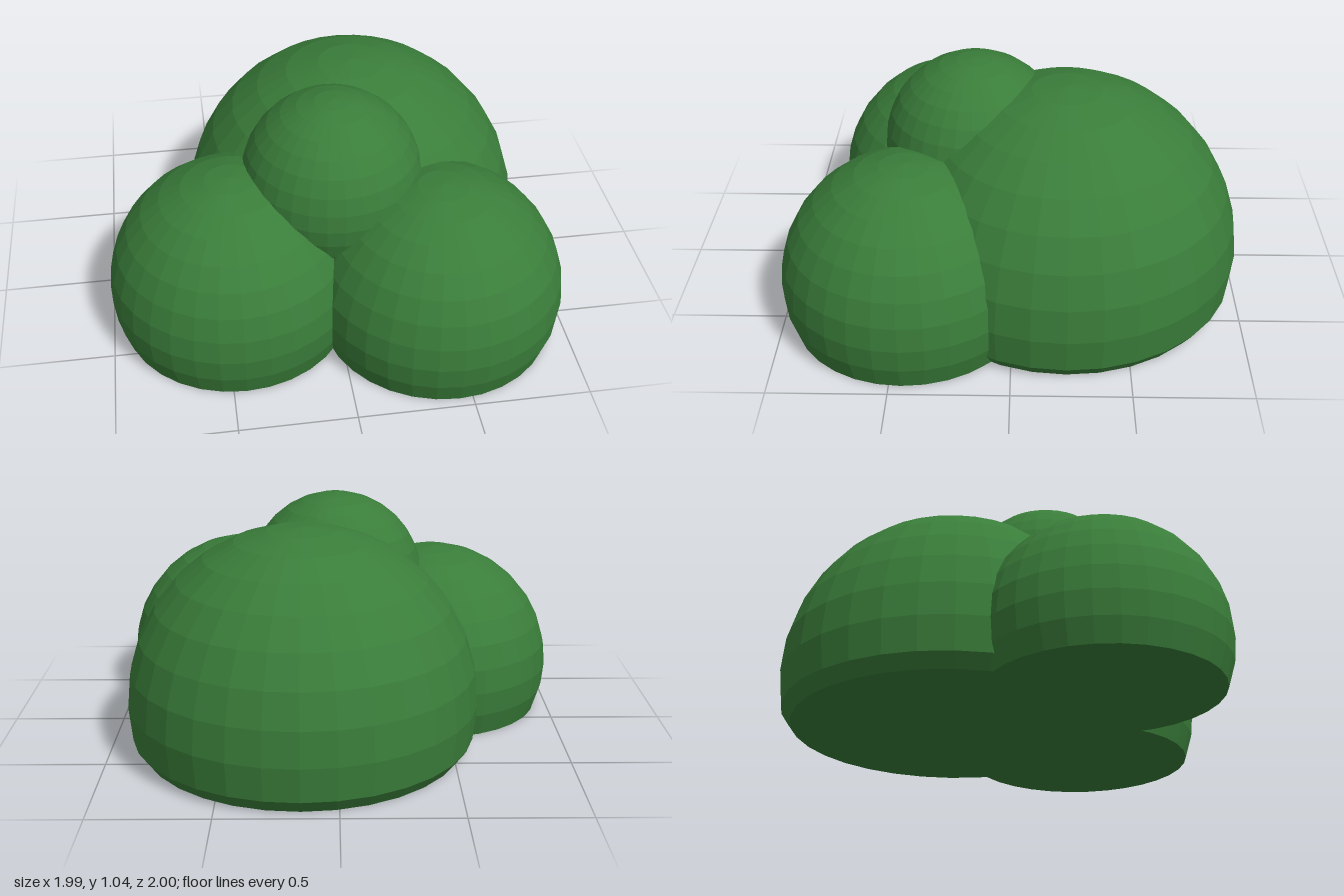
import * as THREE from 'three';

const leafMaterial = new THREE.MeshStandardMaterial({ color: 0x3a7d3a, flatShading: true });

// A ball of foliage whose underside is pressed flat against the ground
function foliageBall(name, radius, x, y, z) {
  const geometry = new THREE.SphereGeometry(radius, 32, 16);
  geometry.translate(x, y, z);
  const position = geometry.attributes.position;
  for (let i = 0; i < position.count; i++) {
    position.setY(i, Math.max(0, position.getY(i)));
  }
  geometry.computeVertexNormals();
  const mesh = new THREE.Mesh(geometry, leafMaterial);
  mesh.name = name;
  return mesh;
}

export function createModel() {
  const bush = new THREE.Group();
  bush.name = 'bush';
  bush.add(
    foliageBall('backFoliage', 0.77, 0.155, 0.21, -0.23),
    foliageBall('leftFoliage', 0.55, 0.44, 0.21, 0.45),
    foliageBall('rightFoliage', 0.55, -0.445, 0.21, 0.28),
    foliageBall('topFoliage', 0.4, 0.01, 0.64, 0.17)
  );
  return bush;
}
